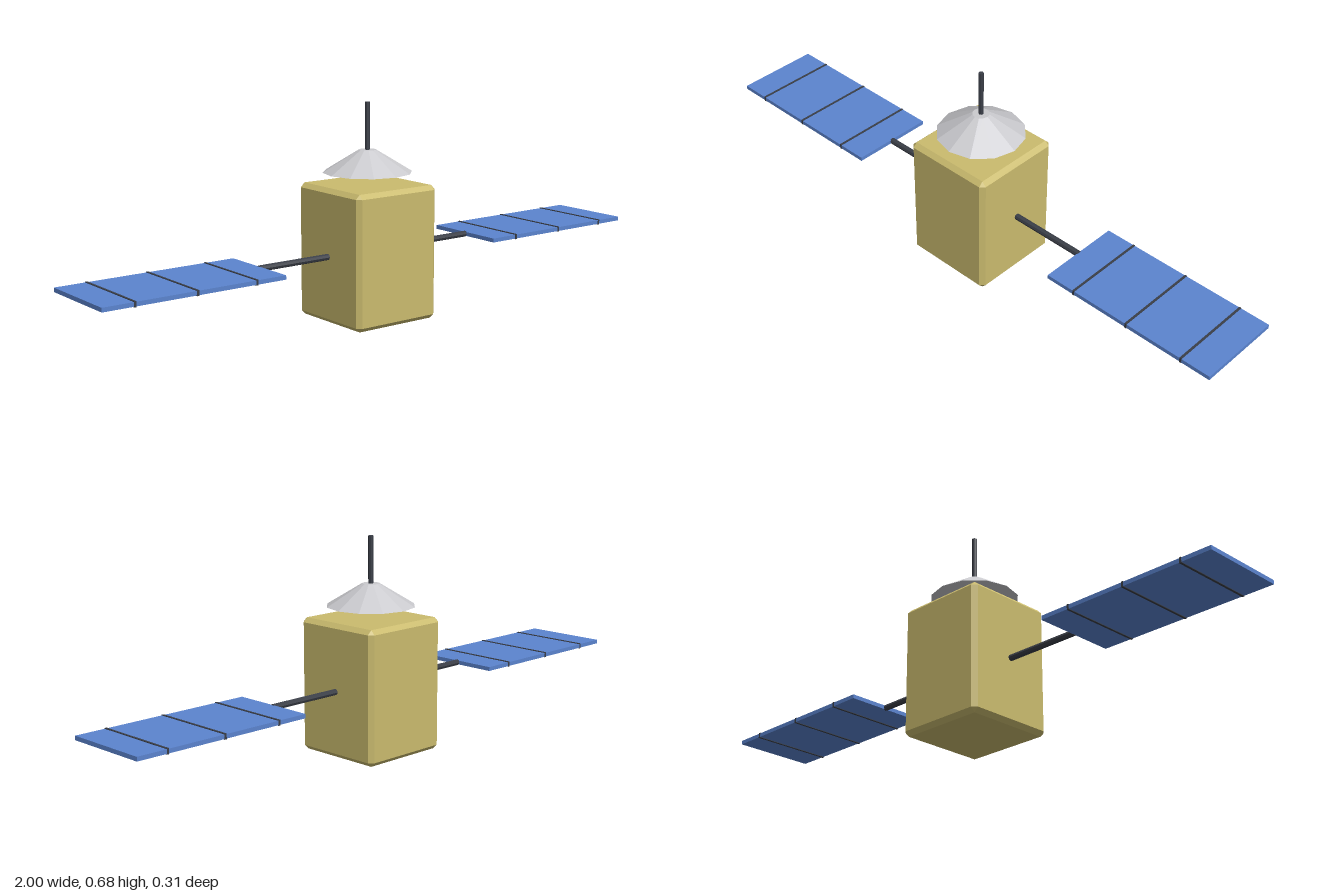
import * as THREE from 'three';
import { ConvexGeometry } from 'three/addons/geometries/ConvexGeometry.js';

// Box with every edge cut by a flat chamfer
function chamferedBox(w, h, d, c) {
  const x = w / 2, y = h / 2, z = d / 2, points = [];
  for (const sx of [-1, 1]) for (const sy of [-1, 1]) for (const sz of [-1, 1]) {
    points.push(
      new THREE.Vector3(sx * x, sy * (y - c), sz * (z - c)),
      new THREE.Vector3(sx * (x - c), sy * y, sz * (z - c)),
      new THREE.Vector3(sx * (x - c), sy * (y - c), sz * z)
    );
  }
  return new ConvexGeometry(points);
}

export function createModel() {
  const model = new THREE.Group();
  model.name = 'satellite';

  const material = (name, color) => {
    const m = new THREE.MeshStandardMaterial({ color, flatShading: true });
    m.name = name;
    return m;
  };
  const gold = material('gold foil', 0xcabb6e);
  const blue = material('solar blue', 0x5b84cf);
  const silver = material('dish silver', 0xcacace);
  const dark = material('dark metal', 0x3a3e47);

  const add = (parent, name, geometry, mat, x, y, z) => {
    const mesh = new THREE.Mesh(geometry, mat);
    mesh.name = name;
    mesh.position.set(x, y, z);
    parent.add(mesh);
    return mesh;
  };

  // Body
  add(model, 'body', chamferedBox(0.308, 0.423, 0.308, 0.014), gold, 0, 0.2115, 0);

  // Dish and mast
  add(model, 'dish', new THREE.CylinderGeometry(0.027, 0.14, 0.07, 12), silver, 0, 0.495, 0);
  add(model, 'mast', new THREE.CylinderGeometry(0.008, 0.008, 0.158, 8), dark, 0, 0.599, 0);

  // Solar wings, one on each side
  const armY = 0.2115;
  for (const side of [-1, 1]) {
    const wing = new THREE.Group();
    wing.name = side > 0 ? 'leftWing' : 'rightWing';
    model.add(wing);

    const arm = add(wing, 'arm', new THREE.CylinderGeometry(0.01, 0.01, 0.27, 8), dark, side * 0.275, armY, 0);
    arm.rotation.z = Math.PI / 2;

    add(wing, 'solarPanel', new THREE.BoxGeometry(0.592, 0.013, 0.28), blue, side * 0.704, armY, 0);
    for (const x of [0.508, 0.704, 0.9]) {
      add(wing, 'panelDivider', new THREE.BoxGeometry(0.007, 0.017, 0.281), dark, side * x, armY, 0);
    }
  }
  return model;
}
